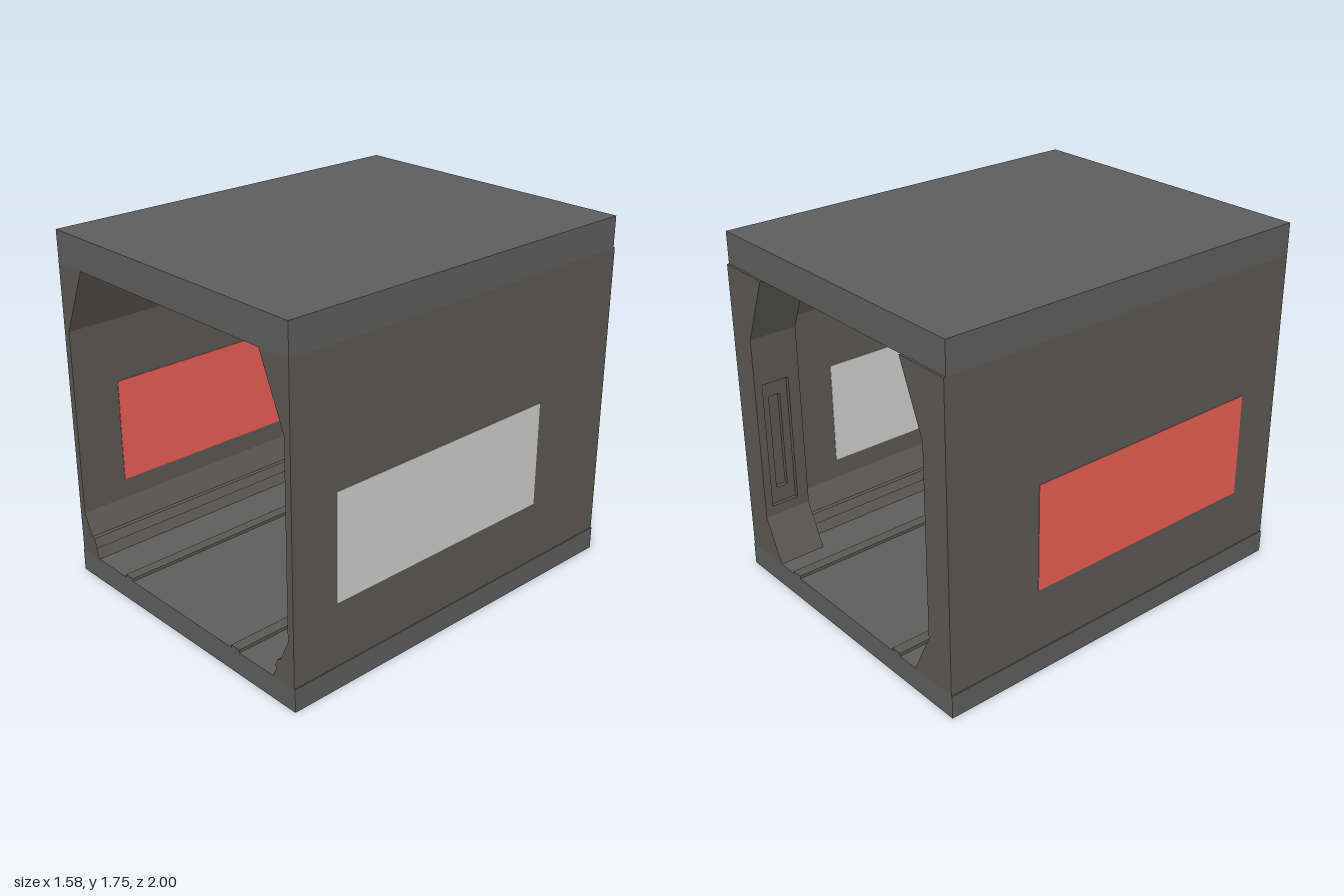
import * as THREE from 'three';

const mat = (color) => new THREE.MeshStandardMaterial({ color, flatShading: true });

export function createModel() {
  const root = new THREE.Group();
  root.name = 'corridorModule';
  const slabMat = mat(0x5d5d5d), wallMat = mat(0x595854), greyMat = mat(0xcccccc), redMat = mat(0xe85d56);

  const add = (parent, name, geometry, material) => {
    const mesh = new THREE.Mesh(geometry, material);
    mesh.name = name;
    parent.add(mesh);
    return mesh;
  };
  // Box given by its limits on each axis
  const box = (parent, name, [x0, x1], [y0, y1], [z0, z1], material) =>
    add(parent, name, new THREE.BoxGeometry(Math.abs(x1 - x0), y1 - y0, z1 - z0), material)
      .position.set((x0 + x1) / 2, (y0 + y1) / 2, (z0 + z1) / 2);
  // Cross-section in x and y, mirrored by side, extruded from z0 to z1
  const section = (parent, name, side, points, z0, z1, material, holes = []) => {
    const flip = (list) => list.map(([x, y]) => new THREE.Vector2(x * side, y));
    const shape = new THREE.Shape(flip(points));
    shape.holes = holes.map((h) => new THREE.Path(flip(h)));
    const geometry = new THREE.ExtrudeGeometry(shape, { depth: z1 - z0, bevelEnabled: false });
    geometry.translate(0, 0, z0);
    return add(parent, name, geometry, material);
  };
  const rect = (x0, x1, y0, y1) => [[x0, y0], [x1, y0], [x1, y1], [x0, y1]];

  // Floor and ceiling slabs
  box(root, 'floor', [-0.79, 0.79], [0, 0.115], [-1, 1], slabMat);
  box(root, 'ceiling', [-0.785, 0.785], [1.595, 1.75], [-0.99, 1], slabMat);

  // Thin wall with chamfered corners and a small ledge on the lower slope
  const wallProfile = [
    [0.785, 0.115], [0.785, 1.595], [0.61, 1.595], [0.75, 1.27], [0.75, 0.33],
    [0.699, 0.22], [0.684, 0.215], [0.662, 0.17], [0.673, 0.165], [0.65, 0.115],
  ];
  // Deeper rib at the rear end, with and without the pocket in its inner face
  const ribOuter = [[0.785, 0.115], [0.785, 1.596], [0.505, 1.596], [0.64, 1.27]];
  const ribFoot = [[0.64, 0.33], [0.535, 0.115]];
  const ribProfile = [...ribOuter, ...ribFoot];
  const pocket = [0.38, 1.03];
  const pocketProfile = [
    ...ribOuter, [0.64, pocket[1]], [0.68, pocket[1]], [0.68, pocket[0]], [0.64, pocket[0]], ...ribFoot,
  ];
  // Light openings in the front face of the rib
  const lights = [
    rect(0.662, 0.722, 1.08, 1.25),
    rect(0.662, 0.722, 0.35, 1.03),
    [[0.71, 0.297], [0.658, 0.297], [0.578, 0.143], [0.628, 0.143]],
  ];

  for (const side of [1, -1]) {
    const half = new THREE.Group();
    half.name = side > 0 ? 'leftSide' : 'rightSide';
    root.add(half);

    section(half, 'wall', side, wallProfile, -0.76, 1, wallMat);
    box(half, 'windowPanel', [0.747 * side, 0.788 * side], [0.43, 0.955], [-0.515, 0.76],
      side > 0 ? greyMat : redMat);

    // Rib built in slices so that the openings are real recesses
    section(half, 'ribBack', side, ribProfile, -1, -0.96, wallMat);
    section(half, 'ribMiddle', side, pocketProfile, -0.96, -0.82, wallMat);
    section(half, 'ribInner', side, ribProfile, -0.82, -0.78, wallMat);
    section(half, 'ribFront', side, ribProfile, -0.78, -0.76, wallMat, lights);
    for (const light of lights) section(half, 'ribLight', side, light, -0.78, -0.77, greyMat);

    // Slotted cover inside the pocket
    const cover = new THREE.Shape([
      [-0.96, pocket[0]], [-0.82, pocket[0]], [-0.82, pocket[1]], [-0.96, pocket[1]],
    ].map(([z, y]) => new THREE.Vector2(z, y)));
    cover.holes.push(new THREE.Path(rect(-0.92, -0.86, 0.46, 0.95).map(([z, y]) => new THREE.Vector2(z, y))));
    const coverGeometry = new THREE.ExtrudeGeometry(cover, { depth: 0.02, bevelEnabled: false });
    coverGeometry.rotateY(-Math.PI / 2);
    coverGeometry.translate(0.67 * side + 0.01, 0, 0);
    add(half, 'pocketCover', coverGeometry, wallMat);

    // Low rail along the floor
    box(half, 'floorRail', [0.37 * side, 0.425 * side], [0.11, 0.13], [-1, 1], wallMat);
  }
  return root;
}
